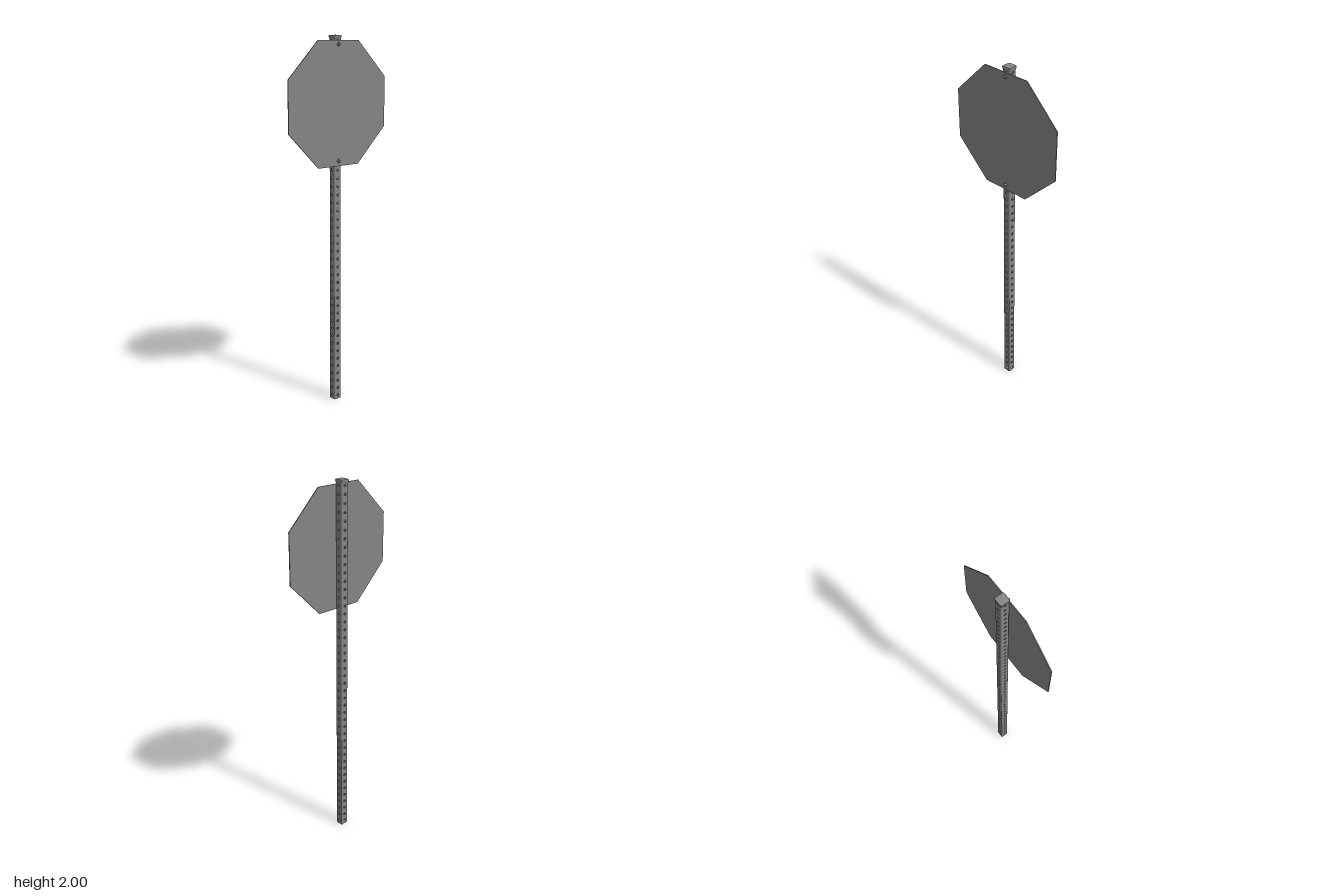
import * as THREE from 'three';

const HALF = 0.0222, WALL = 0.003, CORNER = 0.006, POST_Z = -0.008, POST_TOP = 1.99;

function mesh(geometry, name, parent) {
  const m = new THREE.Mesh(geometry, new THREE.MeshStandardMaterial({ color: 0x848484 }));
  m.name = name;
  parent.add(m);
  return m;
}

// One flat side of the square tube, punched with a row of holes
function wallGeometry() {
  const w = HALF - CORNER, s = new THREE.Shape();
  s.moveTo(-w, 0).lineTo(w, 0).lineTo(w, POST_TOP).lineTo(-w, POST_TOP).closePath();
  for (let i = 0; i < 45; i++) {
    const hole = new THREE.Path();
    hole.absarc(0, 0.022 + i * 0.0443, 0.0068, 0, Math.PI * 2, true);
    s.holes.push(hole);
  }
  return new THREE.ExtrudeGeometry(s, { depth: WALL, bevelEnabled: false, curveSegments: 6 })
    .translate(0, 0, HALF - WALL);
}

// Rounded corner strip joining two sides
function cornerGeometry() {
  const c = HALF - CORNER, s = new THREE.Shape();
  s.absarc(c, c, CORNER, 0, Math.PI / 2, false);
  s.absarc(c, c, CORNER - WALL, Math.PI / 2, 0, true);
  s.closePath();
  return new THREE.ExtrudeGeometry(s, { depth: POST_TOP, bevelEnabled: false, curveSegments: 5 })
    .rotateX(-Math.PI / 2);
}

// Flared cap lofted through rounded-square rings
function capGeometry() {
  const rings = [[0, 1.976], [0.0225, 1.976], [0.0228, 1.98], [0.0255, 1.99], [0.026, 1.995], [0.0245, 1.9985], [0, 2]];
  const pos = [], index = [], n = 24;
  for (const [h, y] of rings) {
    const r = h * 0.3;
    for (let i = 0; i < n; i++) {
      const q = Math.floor(i / 6), a = (q + (i % 6) / 5) * Math.PI / 2;
      const sx = q === 0 || q === 3 ? 1 : -1, sz = q < 2 ? 1 : -1;
      pos.push(sx * (h - r) + r * Math.cos(a), y, sz * (h - r) + r * Math.sin(a));
    }
  }
  for (let k = 0; k < rings.length - 1; k++) {
    for (let i = 0; i < n; i++) {
      const a = k * n + i, b = k * n + (i + 1) % n;
      if (k > 0) index.push(a, a + n, b);
      if (k < rings.length - 2) index.push(b, a + n, b + n);
    }
  }
  const g = new THREE.BufferGeometry();
  g.setAttribute('position', new THREE.Float32BufferAttribute(pos, 3));
  g.setIndex(index);
  const flat = g.toNonIndexed();
  flat.computeVertexNormals();
  return flat;
}

export function createModel() {
  const model = new THREE.Group();
  model.name = 'roadSign';

  // Perforated hollow post
  const post = new THREE.Group();
  post.name = 'post';
  post.position.z = POST_Z;
  model.add(post);
  const wall = wallGeometry(), corner = cornerGeometry();
  for (let i = 0; i < 4; i++) {
    mesh(wall, 'postSide', post).rotation.y = i * Math.PI / 2;
    mesh(corner, 'postCorner', post).rotation.y = i * Math.PI / 2;
  }
  mesh(capGeometry(), 'postCap', post);

  // Octagonal plate
  const R = 0.323 / Math.cos(Math.PI / 8);
  const octagon = new THREE.Shape(Array.from({ length: 8 }, (_, i) => {
    const a = (i + 0.5) * Math.PI / 4;
    return new THREE.Vector2(R * Math.cos(a), R * Math.sin(a));
  }));
  const plate = mesh(new THREE.ExtrudeGeometry(octagon, { depth: 0.005, bevelEnabled: false }), 'signPlate', model);
  plate.position.set(0, 1.651, 0.0155);

  // Bolts: washer, hexagonal head and shank reaching into the post
  for (const y of [1.953, 1.356]) {
    const bolt = new THREE.Group();
    bolt.name = 'bolt';
    bolt.position.set(0, y, 0.0205);
    bolt.rotation.x = Math.PI / 2;
    model.add(bolt);
    mesh(new THREE.CylinderGeometry(0.0095, 0.0105, 0.004, 20), 'washer', bolt).position.y = 0.002;
    const head = mesh(new THREE.CylinderGeometry(0.006, 0.008, 0.0065, 6), 'boltHead', bolt);
    head.material.flatShading = true;
    head.position.y = 0.00725;
    mesh(new THREE.CylinderGeometry(0.005, 0.005, 0.03, 12), 'boltShank', bolt).position.y = -0.014;
  }
  return model;
}
